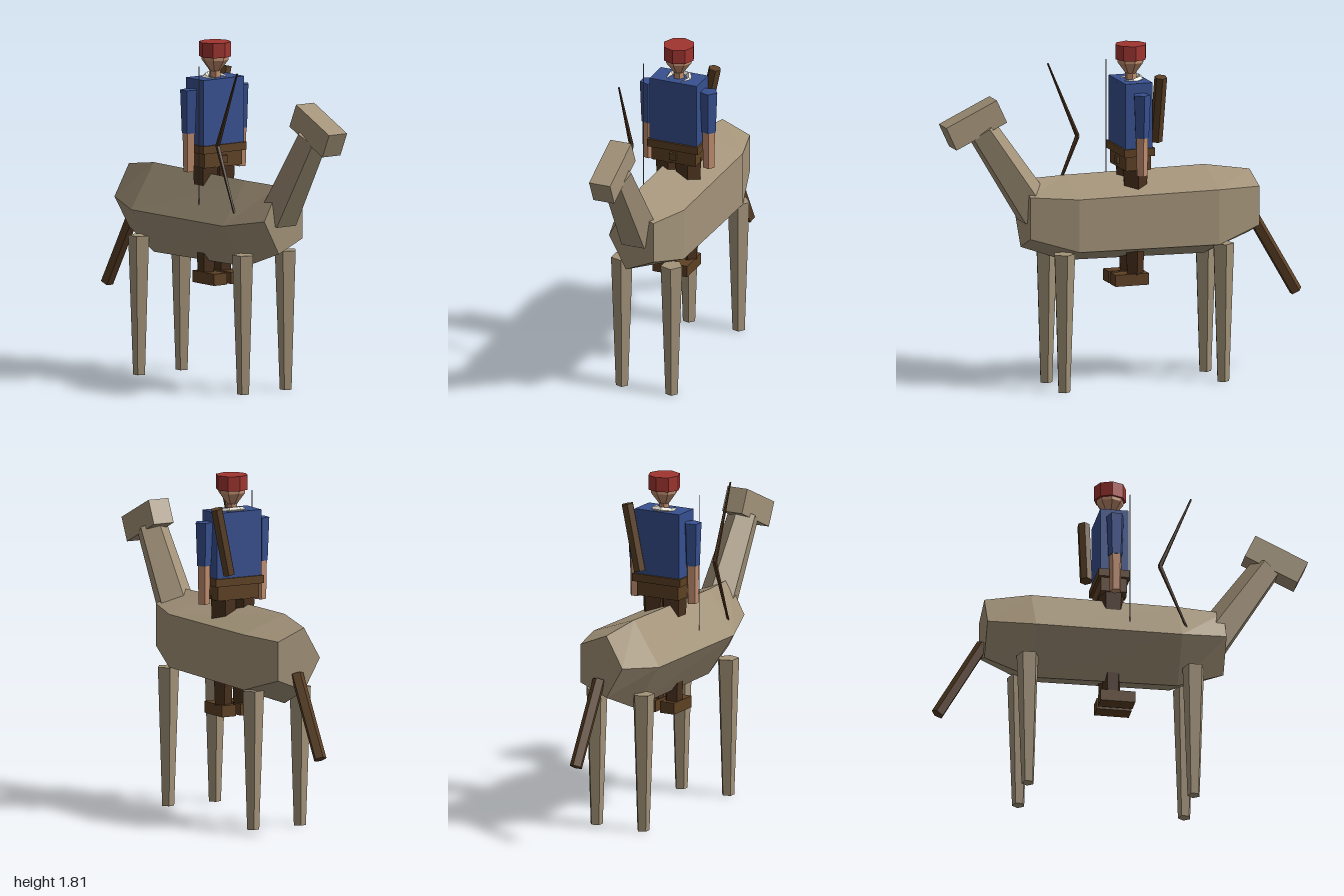
import * as THREE from 'three';

const mat = (name, color) => {
  const m = new THREE.MeshStandardMaterial({ color, flatShading: true });
  m.name = name;
  return m;
};

export function createModel() {
  const group = new THREE.Group();
  const hide = mat('tan hide', 0xa39379);
  const blue = mat('blue cloth', 0x37508f);
  const red = mat('red cloth', 0xa03530);
  const skin = mat('skin', 0xc08d6e);
  const leather = mat('brown leather', 0x5e4124);
  const dark = mat('dark brown', 0x4a311d);
  const wood = mat('brown wood', 0x5a4025);
  const white = mat('white cloth', 0xe6e2d6);
  const grey = mat('grey string', 0x8f8f8f);

  function add(name, geo, material, x = 0, y = 0, z = 0) {
    const mesh = new THREE.Mesh(geo, material);
    mesh.name = name;
    mesh.position.set(x, y, z);
    group.add(mesh);
    return mesh;
  }
  const box = (name, m, w, h, d, x, y, z) => add(name, new THREE.BoxGeometry(w, h, d), m, x, y, z);

  // Tapered rod from a (radius ra) to b (radius rb); spin turns its facets
  function rod(name, m, a, b, ra, rb, sides = 5, spin = Math.PI / 2) {
    const p = new THREE.Vector3(...a), q = new THREE.Vector3(...b);
    const dir = q.clone().sub(p);
    const geo = new THREE.CylinderGeometry(rb, ra, dir.length(), sides).rotateY(spin);
    const mesh = add(name, geo, m);
    mesh.position.copy(p).add(q).multiplyScalar(0.5);
    mesh.quaternion.setFromUnitVectors(new THREE.Vector3(0, 1, 0), dir.normalize());
    return mesh;
  }

  // Barrel body: pentagon rings [z, centre y, x radius, y radius]
  const rings = [
    [0.55, 0.935, 0.14, 0.19],
    [0.3, 0.89, 0.222, 0.24],
    [-0.48, 0.886, 0.222, 0.25],
    [-0.725, 0.92, 0.14, 0.176],
  ].map(([z, cy, rx, ry]) => Array.from({ length: 5 }, (_, j) => {
    const t = Math.PI * (1 + 0.4 * j);
    return [rx * Math.cos(t), cy + ry * Math.sin(t), z];
  }));
  const pos = [];
  const tri = (...pts) => pts.forEach((p) => pos.push(...p));
  for (let i = 0; i < 3; i++) {
    for (let j = 0; j < 5; j++) {
      const k = (j + 1) % 5, f = rings[i], b = rings[i + 1];
      tri(f[j], b[j], b[k]);
      tri(f[j], b[k], f[k]);
    }
  }
  for (let j = 1; j < 4; j++) {
    tri(rings[0][0], rings[0][j], rings[0][j + 1]);
    tri(rings[3][0], rings[3][j + 1], rings[3][j]);
  }
  const bodyGeo = new THREE.BufferGeometry();
  bodyGeo.setAttribute('position', new THREE.Float32BufferAttribute(pos, 3));
  bodyGeo.computeVertexNormals();
  add('animalBody', bodyGeo, hide);

  // Animal neck, head, tail and legs
  rod('animalNeck', hide, [0, 0.946, 0.484], [0, 1.406, 0.786], 0.11, 0.085, 5, Math.PI);
  box('animalHead', hide, 0.12, 0.135, 0.31, 0, 1.443, 0.83).rotation.x = 0.435;
  rod('tail', wood, [0, 0.425, -0.967], [0, 0.845, -0.725], 0.035, 0.035, 5, Math.PI);
  for (const x of [-0.141, 0.143]) {
    for (const z of [0.375, -0.51]) rod('animalLeg', hide, [x, 0, z], [x, 0.74, z], 0.034, 0.06);
  }

  // Rider torso and belt
  const rz = -0.048;
  box('torso', blue, 0.27, 0.36, 0.15, 0, 1.443, rz);
  box('belt', leather, 0.29, 0.042, 0.17, 0, 1.253, rz);
  box('hips', leather, 0.25, 0.08, 0.14, 0, 1.195, rz);
  box('buckle', wood, 0.04, 0.04, 0.02, 0, 1.195, 0.026);

  // Rider limbs
  for (const s of [-1, 1]) {
    const ax = s * 0.172, lx = s * 0.056;
    rod('sleeve', blue, [ax, 1.34, rz], [ax, 1.57, rz], 0.039, 0.048);
    rod('forearm', skin, [ax, 1.135, rz], [ax, 1.345, rz], 0.031, 0.035);
    rod('riderLeg', dark, [lx, 0.59, rz], [lx, 1.18, rz], 0.047, 0.072);
    box('shoe', leather, 0.085, 0.062, 0.185, lx, 0.565, -0.022);
  }

  // Rider neck, collar, head and cap
  rod('riderNeck', skin, [0, 1.6, rz], [0, 1.665, rz], 0.032, 0.03, 6);
  const collarGeo = new THREE.TorusGeometry(0.06, 0.015, 4, 7).rotateX(Math.PI / 2);
  add('collar', collarGeo, white, 0, 1.618, rz + 0.004).rotation.x = 0.2;
  const face = [[0, 1.65], [0.028, 1.655], [0.072, 1.715], [0.072, 1.75], [0, 1.76]];
  const headGeo = new THREE.LatheGeometry(face.map((p) => new THREE.Vector2(...p)), 8);
  add('riderHead', headGeo, skin, 0, 0, rz);
  const cap = new THREE.CylinderGeometry(0.085, 0.085, 0.078, 8);
  add('cap', cap, red, 0, 1.771, rz);

  // Quiver slung across the back
  rod('quiver', wood, [0.083, 1.3, -0.16], [0.158, 1.655, -0.16], 0.034, 0.034, 6);

  // Bow with two limbs and a string
  const bx = -0.168;
  for (const s of [-1, 1]) {
    rod('bowLimb', dark, [bx, 1.3, 0.19], [bx, 1.3 + s * 0.4, 0.355], 0.013, 0.005);
  }
  rod('bowString', grey, [bx, 0.9, 0.03], [bx, 1.7, 0.03], 0.003, 0.003, 4);

  return group;
}
